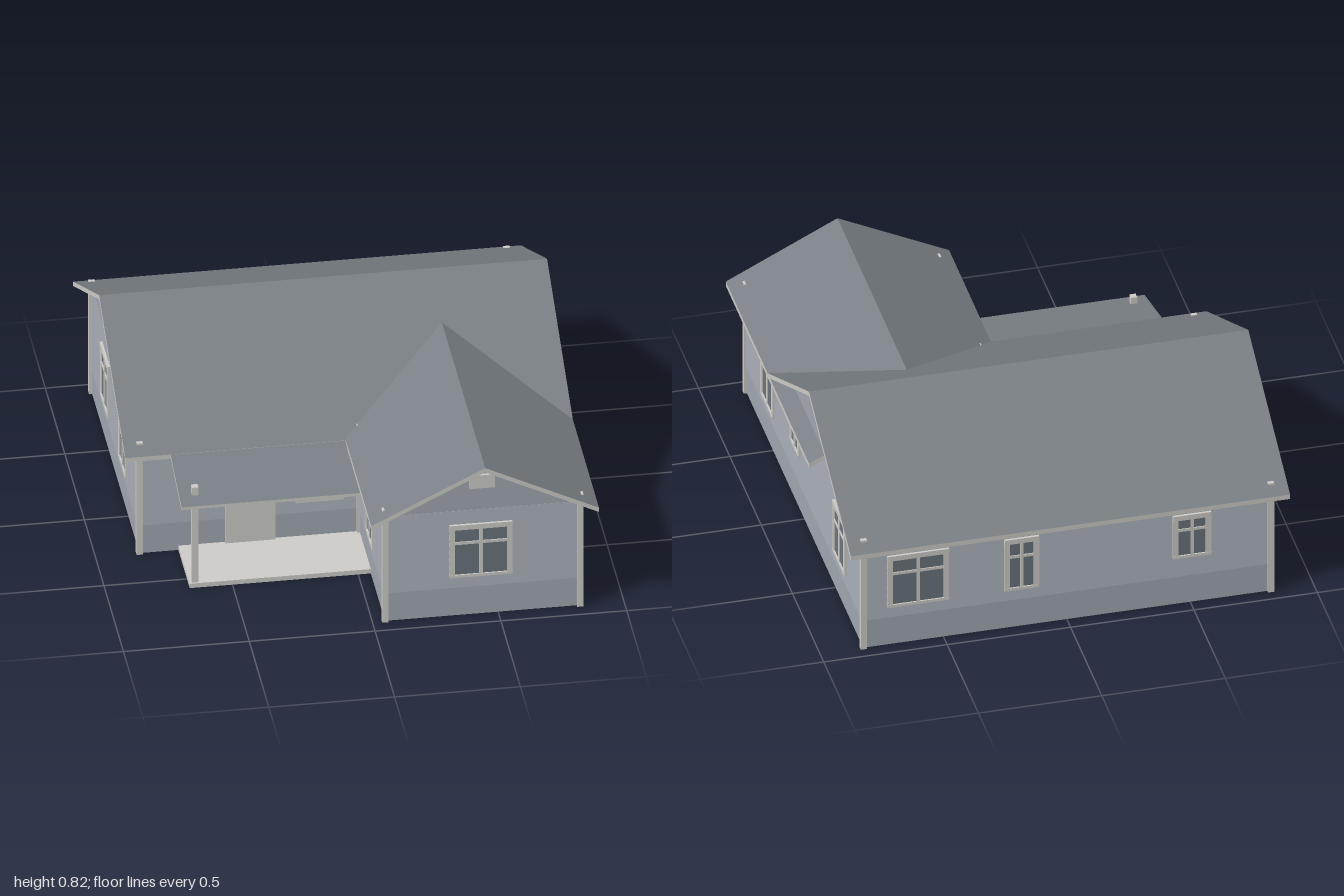
import * as THREE from 'three';

const mat = (name, color) => {
  const m = new THREE.MeshStandardMaterial({ color });
  m.name = name;
  return m;
};

export function createModel() {
  const house = new THREE.Group();
  house.name = 'house';
  const wallPaint = mat('blueGreyWall', 0xa3a9b2);
  const roofGrey = mat('roofGrey', 0x7a8085);
  const trim = mat('offWhiteTrim', 0xcfcec9);
  const glass = mat('darkGlass', 0x6c757d);

  const add = (parent, name, geo, material) => {
    const m = new THREE.Mesh(geo, material);
    m.name = name;
    parent.add(m);
    return m;
  };
  // Box given by its limits on each axis
  const box = (parent, name, material, x0, x1, y0, y1, z0, z1) => {
    const m = add(parent, name, new THREE.BoxGeometry(x1 - x0, y1 - y0, z1 - z0), material);
    m.position.set((x0 + x1) / 2, (y0 + y1) / 2, (z0 + z1) / 2);
    return m;
  };

  // Lap siding: a sawtooth profile swept along the wall
  const siding = (parent, u0, u1) => {
    const bottom = 0.13, top = 0.48, rows = 10, step = (top - bottom) / rows;
    const s = new THREE.Shape();
    s.moveTo(-0.002, bottom);
    for (let i = 0; i < rows; i++) {
      s.lineTo(0.006, bottom + i * step);
      s.lineTo(0.001, bottom + (i + 1) * step);
    }
    s.lineTo(-0.002, top);
    const geo = new THREE.ExtrudeGeometry(s, { depth: u1 - u0, bevelEnabled: false });
    geo.rotateY(-Math.PI / 2); // profile depth to +z, sweep to -x
    geo.translate(u1, 0, 0);
    add(parent, 'siding', geo, wallPaint);
  };

  // Wall in its own frame: u along the wall, y up, outside towards +z
  const wall = (name, points, x, z, turn, from, to) => {
    const g = new THREE.Group();
    g.name = name;
    g.position.set(x, 0, z);
    g.rotation.y = turn;
    const shape = new THREE.Shape(points.map(([u, y]) => new THREE.Vector2(u, y)));
    const geo = new THREE.ExtrudeGeometry(shape, { depth: 0.008, bevelEnabled: false });
    geo.translate(0, 0, -0.008);
    add(g, 'wallPanel', geo, wallPaint);
    siding(g, from, to);
    house.add(g);
    return g;
  };

  // Window: glass passing through the wall, frame, mullion and transom
  const windowUnit = (parent, u, width, y0 = 0.18, y1 = 0.42) => {
    const g = new THREE.Group();
    g.name = 'window';
    parent.add(g);
    const a = u - width / 2, b = u + width / 2, t = 0.022, f = 0.014;
    box(g, 'glass', glass, a + 0.01, b - 0.01, y0 + 0.01, y1 - 0.01, -0.011, 0.009);
    for (const [n, x0, x1] of [['frameSide', a, a + t], ['frameSide', b - t, b], ['mullion', u - 0.007, u + 0.007]])
      box(g, n, trim, x0, x1, y0, y1, -0.012, f);
    box(g, 'frameSill', trim, a, b, y0, y0 + 0.012, -0.013, f + 0.001);
    box(g, 'frameHead', trim, a, b, y1 - t, y1, -0.013, f + 0.001);
    const ty = y0 + (y1 - y0) * 0.65;
    box(g, 'transom', trim, a, b, ty - 0.006, ty + 0.006, -0.011, f - 0.001);
  };

  const X = 0.825, BACK = -0.94, MID = 0.28, FRONT = 0.93, WING = 0.05, H = 0.485;
  const rect = (a, b, h) => [[a, 0], [b, 0], [b, h], [a, h]];

  // Front walls
  const porchWall = wall('porchWall', rect(-X, WING, H), 0, MID, 0, -X, WING);
  windowUnit(porchWall, -0.11, 0.19);
  box(porchWall, 'door', trim, -0.485, -0.285, 0.02, 0.385, -0.012, 0.012);
  box(porchWall, 'doorWindow', glass, -0.44, -0.33, 0.28, 0.37, 0.01, 0.014);

  const wingFront = wall('wingFrontWall',
    [[WING, 0], [X, 0], [X, 0.495], [0.4375, 0.69], [WING, 0.495]], 0, FRONT, 0, WING, X);
  windowUnit(wingFront, 0.43, 0.25);
  box(wingFront, 'gableVent', trim, 0.385, 0.485, 0.582, 0.642, 0, 0.012);

  // Back wall, u = -x
  const backWall = wall('backWall', rect(-X, X, H), 0, BACK, Math.PI, -X, X);
  windowUnit(backWall, -0.605, 0.25);
  windowUnit(backWall, -0.185, 0.14);
  windowUnit(backWall, 0.505, 0.155, 0.22);

  // Wall on the model's left (+x), u = -z
  const leftWall = wall('leftWall',
    [[-FRONT, 0], [-BACK, 0], [-BACK, 0.488], [0.33, 0.8], [-MID, 0.488], [-FRONT, 0.488]],
    X, 0, Math.PI / 2, -FRONT, -BACK);
  windowUnit(leftWall, -0.553, 0.195);
  windowUnit(leftWall, -0.112, 0.145, 0.265);
  windowUnit(leftWall, 0.6, 0.195);

  // Walls on the model's right (-x), u = z
  const rightWall = wall('rightWall',
    [[BACK, 0], [MID, 0], [MID, 0.488], [-0.33, 0.8], [BACK, 0.488]], -X, 0, -Math.PI / 2, BACK, MID);
  windowUnit(rightWall, -0.54, 0.195);
  windowUnit(rightWall, -0.08, 0.185);
  const wingSide = wall('wingSideWall', rect(MID, FRONT, H), WING, 0, -Math.PI / 2, MID, FRONT);
  windowUnit(wingSide, 0.605, 0.17);

  // Corner boards, their tips just breaking through the roof
  for (const [x, z] of [[-X, BACK], [X, BACK], [-X, MID], [WING, MID], [WING, FRONT], [X, FRONT]])
    box(house, 'cornerBoard', trim, x - 0.0125, x + 0.0125, 0, z === FRONT ? 0.516 : 0.513, z - 0.0125, z + 0.0125);

  // Sloping slab: falls from the ridge along +x, trim on its edges
  const slope = (parent, name, run, length, yTop, drop, thick, turn) => {
    const geo = new THREE.BoxGeometry(run, thick, length);
    geo.translate(run / 2, yTop - thick / 2, 0);
    const p = geo.attributes.position;
    for (let i = 0; i < p.count; i++) p.setY(i, p.getY(i) - (p.getX(i) / run) * drop);
    geo.computeVertexNormals();
    const m = add(parent, name, geo, [trim, trim, roofGrey, roofGrey, trim, trim]);
    m.rotation.y = turn;
    return m;
  };

  // Main roof, ridge along x
  const mainRoof = new THREE.Group();
  mainRoof.name = 'mainRoof';
  mainRoof.position.z = -0.33;
  slope(mainRoof, 'frontSlope', 0.67, 1.78, 0.825, 0.345, 0.02, -Math.PI / 2);
  slope(mainRoof, 'backSlope', 0.67, 1.78, 0.825, 0.345, 0.02, Math.PI / 2);
  house.add(mainRoof);

  // Wing roof, ridge along z, running back under the main roof
  const wingRoof = new THREE.Group();
  wingRoof.name = 'wingRoof';
  wingRoof.position.set(0.4375, 0, 0.335);
  slope(wingRoof, 'leftSlope', 0.4525, 1.33, 0.71, 0.225, 0.02, 0);
  slope(wingRoof, 'rightSlope', 0.4525, 1.33, 0.71, 0.225, 0.02, Math.PI);
  house.add(wingRoof);

  // Porch
  const porch = new THREE.Group();
  porch.name = 'porch';
  house.add(porch);
  const porchRoof = slope(porch, 'porchRoof', 0.34, 0.755, 0.494, 0.088, 0.013, -Math.PI / 2);
  porchRoof.position.set(-0.3325, 0, 0.28);
  box(porch, 'porchFloor', trim, -0.67, WING, 0, 0.02, MID, 0.57);
  box(porch, 'porchPost', trim, -0.66, -0.634, 0.02, 0.457, 0.537, 0.563);

  return house;
}
